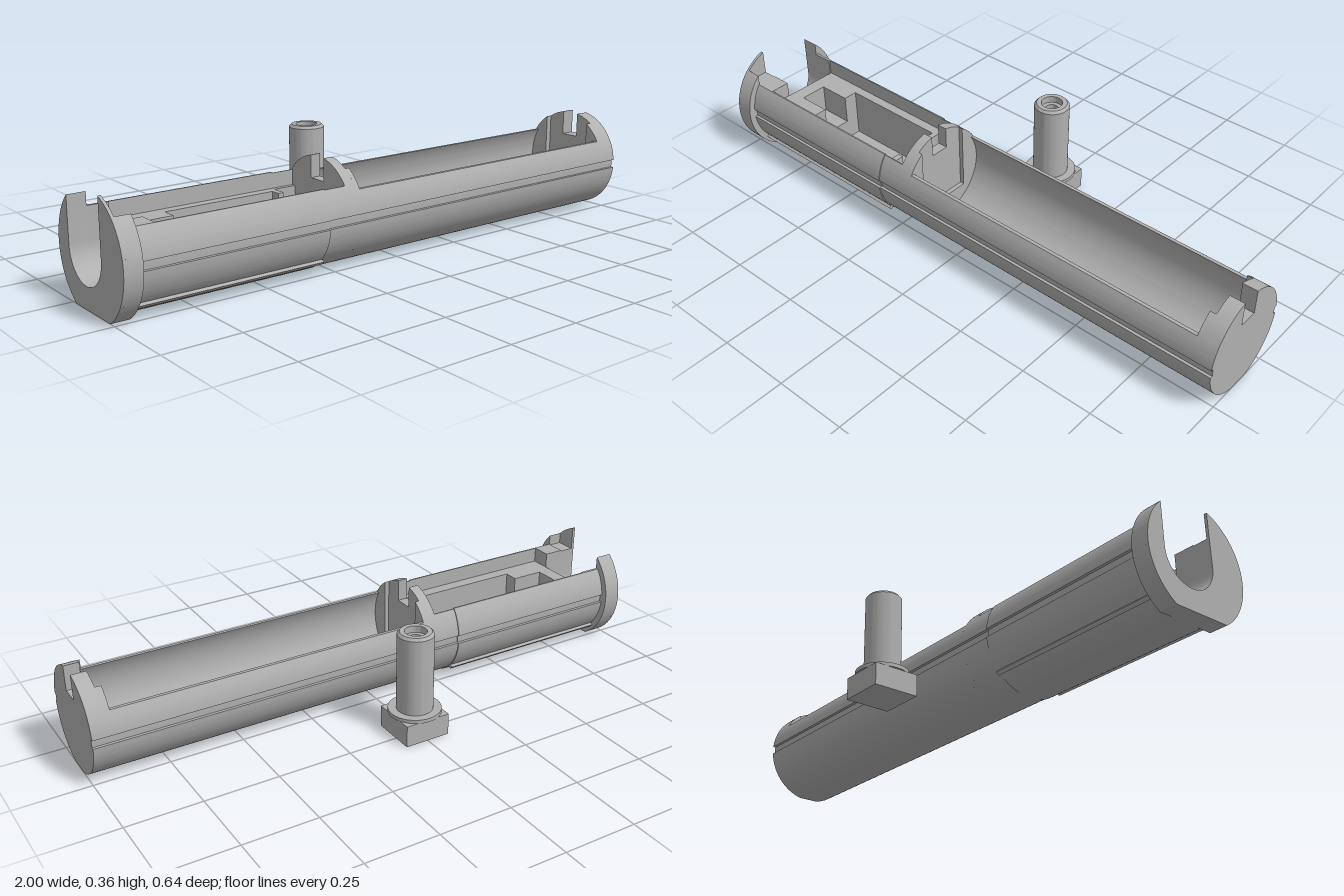
import * as THREE from 'three';
import { toCreasedNormals } from 'three/addons/utils/BufferGeometryUtils.js';

const CY = 0.168, CZ = 0.1225; // tube axis
const R1 = 0.175, R2 = 0.172, RF = 0.197; // front body, rear body, flange radii

// Points (u = z offset from the axis, y) of an arc, flattened on y = 0
function arc(r, a0, a1, n, grooved = false) {
  const angles = [];
  for (let i = 0; i <= n; i++) angles.push([a0 + (a1 - a0) * i / n, r]);
  const half = 0.081;
  let list = angles;
  if (grooved) {
    // Shallow keyway along each side of the tube
    for (const c of [0, -Math.PI]) {
      list = list.filter(([a]) => Math.abs(a - c) > half + 0.002);
      list.push([c + half + 1e-6, r], [c + half, r - 0.009], [c, r - 0.009],
        [c - half, r - 0.009], [c - half - 1e-6, r]);
    }
    list.sort((p, q) => q[0] - p[0]);
  }
  const flat = Math.asin(Math.min(1, CY / r));
  if (r > CY) {
    for (const a of [-flat, -Math.PI + flat]) list.push([a, r]);
    list.sort((p, q) => (a1 < a0 ? q[0] - p[0] : p[0] - q[0]));
  }
  return list.map(([a, q]) => [q * Math.cos(a), Math.max(0, CY + q * Math.sin(a))]);
}

// Outer outline from the cut edge u0 (front) under the tube to u1 (back)
function outer(r, u0, u1, grooved) {
  return arc(r, Math.acos(u0 / r), Math.acos(u1 / r) - 2 * Math.PI, 110, grooved);
}

const halfWidthAt = (r, y) => Math.sqrt(r * r - (y - CY) ** 2);

export function createModel() {
  const group = new THREE.Group();
  const grey = new THREE.MeshStandardMaterial({ color: 0xb0b0b0 });
  grey.name = 'grey plastic';

  function add(name, geometry) {
    const mesh = new THREE.Mesh(geometry, grey);
    mesh.name = name;
    group.add(mesh);
    return mesh;
  }

  // Extrudes a cross-section along x
  function section(name, x0, x1, points) {
    const shape = new THREE.Shape(points.map(([u, y]) => new THREE.Vector2(-u, y)));
    const g = new THREE.ExtrudeGeometry(shape, { depth: x1 - x0, bevelEnabled: false });
    g.rotateY(Math.PI / 2);
    g.translate(x0, 0, CZ);
    add(name, toCreasedNormals(g, 0.45));
  }

  // U-shaped cable opening, from its back edge to its front edge
  const uBack = -0.1305, uFront = 0.0675;
  const cradle = [];
  for (let i = 0; i <= 24; i++) {
    const a = Math.PI + Math.PI * i / 24;
    cradle.push([(uBack + uFront) / 2 + 0.099 * Math.cos(a), 0.17 + 0.099 * Math.sin(a)]);
  }

  // Flange at the cable end
  section('flangePlate', -1, -0.99, [...outer(RF, uFront, uBack), ...cradle]);
  section('flangeRim', -0.99, -0.94,
    [...outer(RF, 0.1375, uBack), ...cradle, [uFront, 0.27], [0.1375, 0.27]]);

  // Neck behind the flange
  const top = 0.273, ledge = 0.22, wall = 0.135;
  const w1 = halfWidthAt(R1, top);
  section('neck', -0.94, -0.87,
    [...outer(R1, w1, -w1, true), [uBack, top], ...cradle, [uFront, top]]);

  // Motor compartment: stepped pockets [x0, x1, back, front, floor]
  const pockets = [
    [-0.87, -0.82, 0, 0, ledge],
    [-0.82, -0.705, -0.0525, 0.0425, 0.12],
    [-0.705, -0.32, -0.1025, 0.0925, 0.05],
    [-0.32, -0.3, -0.07, 0.06, 0.1],
    [-0.3, -0.22, -0.12, 0.11, 0.07],
  ];
  for (const [x0, x1, b, f, floor] of pockets) {
    const r = x0 < -0.301 ? R1 : R2;
    const y = r === R1 ? top : 0.27;
    const w = halfWidthAt(r, y);
    const pocket = b === f ? [] : [[b, ledge], [b, floor], [f, floor], [f, ledge]];
    section('motorCompartment', x0, x1, [...outer(r, w, -w, true),
      [-wall, y], [-wall, ledge], ...pocket, [wall, ledge], [wall, y]]);
  }

  // Slotted bulkhead and end cap, each with an open lip facing the bay
  const slot = 0.0325, lip = 0.095;
  const bulkhead = (name, x0, x1, floor) => section(name, x0, x1,
    [...outer(R2, slot, -slot, true), [-slot, floor], [slot, floor]]);
  const bayLip = (name, x0, x1) => section(name, x0, x1,
    [...outer(R2, lip, -lip, true), [-lip, 0.08], [lip, 0.08]]);
  bulkhead('bulkhead', -0.22, -0.185, 0.263);
  bayLip('bulkheadLip', -0.185, -0.17);
  bayLip('endCapLip', 0.93, 0.95);
  bulkhead('endCap', 0.95, 1, 0.253);

  // Long open bay
  const bayTop = 0.255, ri = 0.162;
  const w2 = halfWidthAt(R2, bayTop);
  const s = Math.asin((bayTop - CY) / ri);
  section('longBay', -0.17, 0.93,
    [...outer(R2, w2, -w2, true), ...arc(ri, -Math.PI - s, s, 70)]);

  // Lower guide ribs
  for (const side of [1, -1]) {
    const rib = add('guideRib', new THREE.BoxGeometry(0.64, 0.014, 0.02));
    const a = 0.77;
    rib.position.set(-0.62, CY - 0.175 * Math.sin(a), CZ + side * 0.175 * Math.cos(a));
    rib.rotation.x = side * (Math.PI / 2 - a) * -1 + side * Math.PI / 2;
  }

  // Separate plug: square foot, collar and chamfered hollow-topped post
  const foot = add('plugFoot', new THREE.BoxGeometry(0.158, 0.074, 0.158));
  foot.position.set(0, 0.037, -0.235);
  const profile = [[0, 0.073], [0.087, 0.073], [0.087, 0.086], [0.06, 0.086], [0.06, 0.349],
    [0.052, 0.358], [0.036, 0.358], [0.036, 0.335], [0.022, 0.335], [0.022, 0.28], [0, 0.28]];
  const post = new THREE.LatheGeometry(profile.map(([x, y]) => new THREE.Vector2(x, y)), 48);
  add('plugPost', toCreasedNormals(post, 0.45)).position.set(0, 0, -0.235);

  return group;
}
